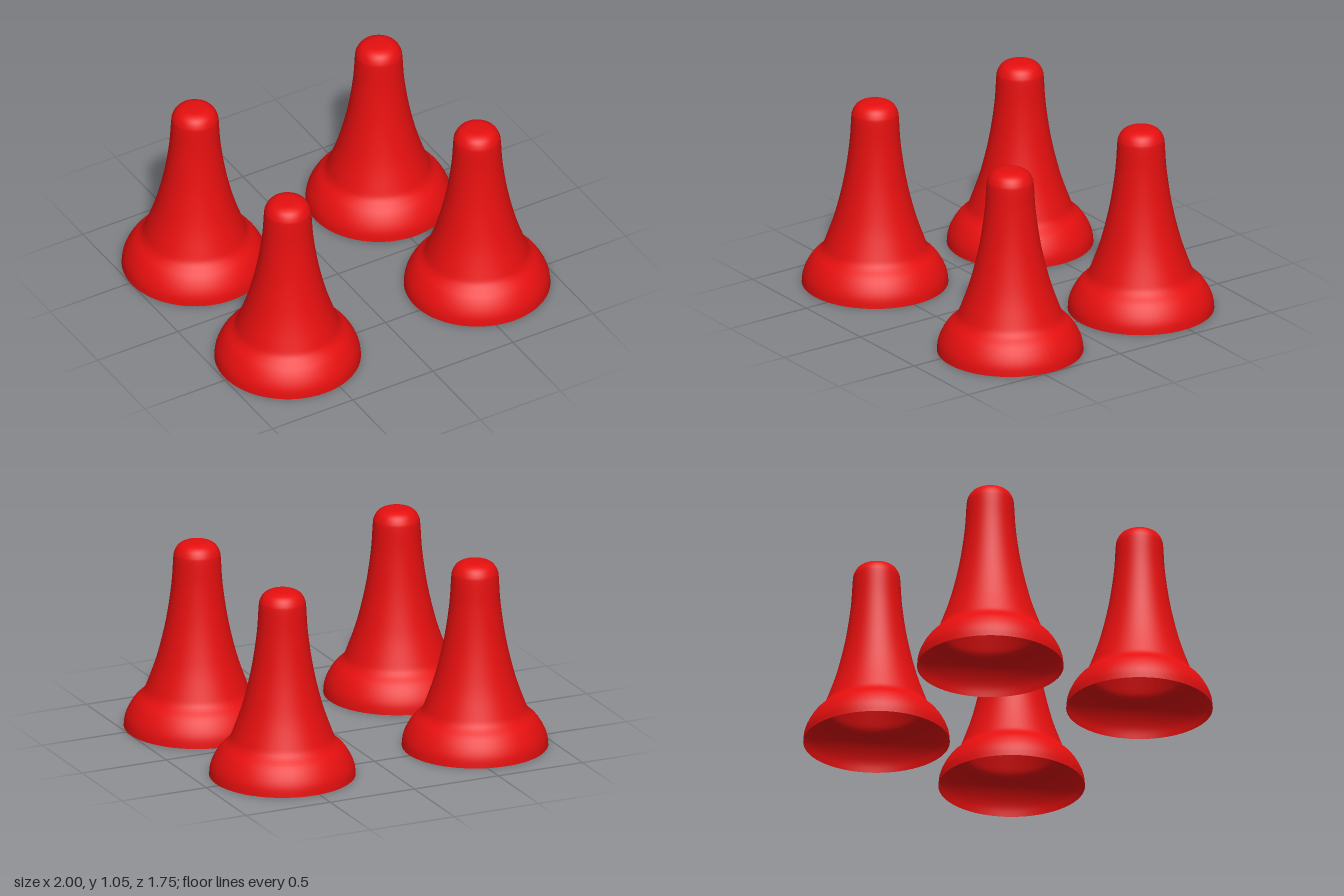
import * as THREE from 'three';

export function createModel() {
  const group = new THREE.Group();
  const red = new THREE.MeshStandardMaterial({ color: 0xe60f0f, side: THREE.DoubleSide });
  red.name = 'red';

  // Profile of one hollow cone (radius, height): flared skirt, tapering neck, rounded tip
  const points = [
    [0.394, 0], [0.388, 0.05], [0.368, 0.1], [0.335, 0.15], [0.29, 0.195],
    [0.265, 0.25], [0.214, 0.4], [0.167, 0.6], [0.138, 0.8], [0.128, 0.95],
    [0.121, 0.99], [0.1, 1.023], [0.066, 1.041], [0.03, 1.045], [0, 1.046],
  ].map(([r, y]) => new THREE.Vector2(r, y));
  const profile = new THREE.SplineCurve(points).getPoints(56);
  profile.forEach((p) => { p.x = Math.max(p.x, 0); });
  const coneGeometry = new THREE.LatheGeometry(profile, 64);

  // Four cones standing in a loose square
  const places = {
    backRightCone: [-0.606, -0.484],
    backLeftCone: [0.533, -0.471],
    frontRightCone: [-0.597, 0.478],
    frontLeftCone: [0.606, 0.443],
  };
  for (const [name, [x, z]] of Object.entries(places)) {
    const cone = new THREE.Mesh(coneGeometry, red);
    cone.name = name;
    cone.position.set(x, 0, z);
    group.add(cone);
  }
  return group;
}
